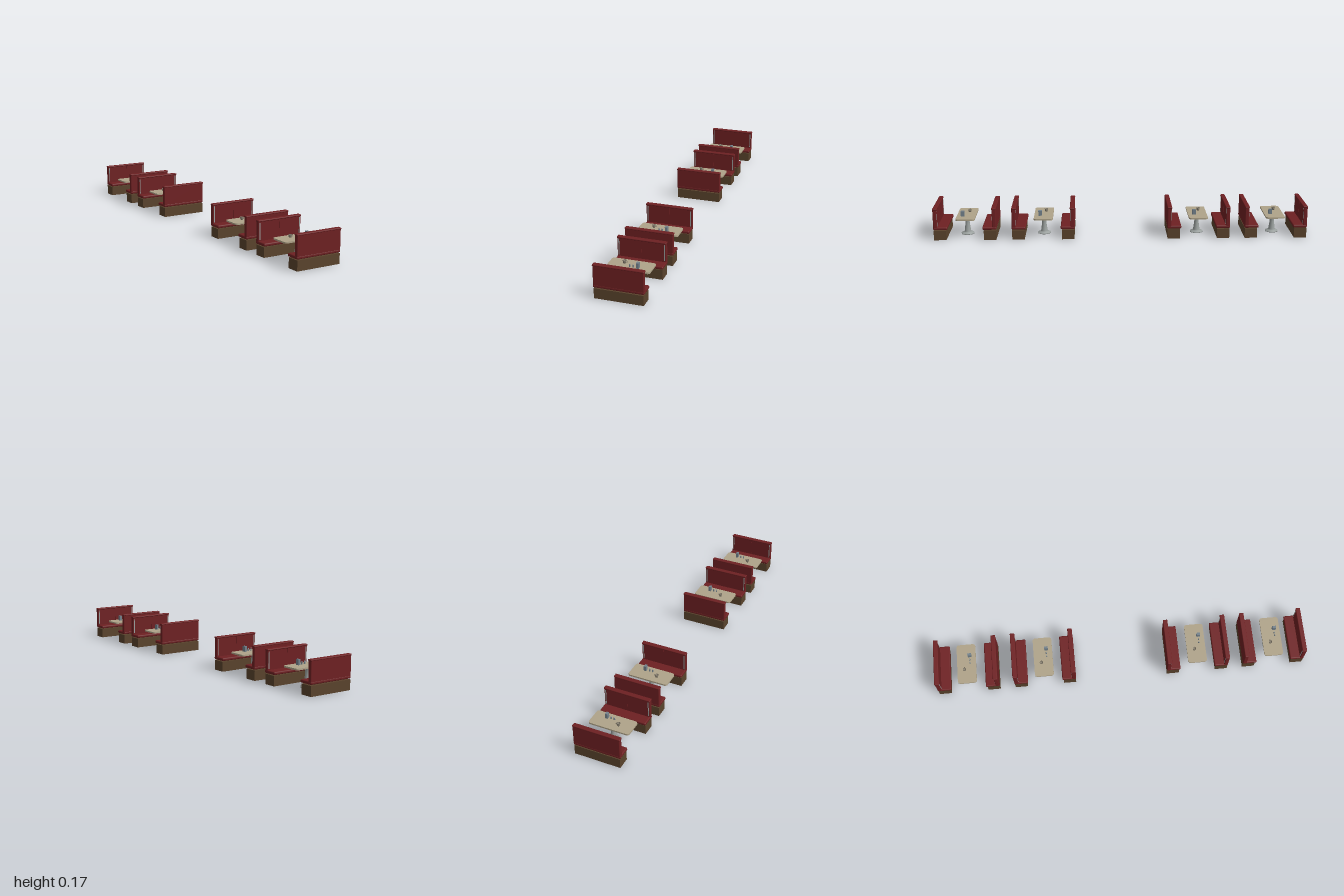
import * as THREE from 'three';
import { RoundedBoxGeometry } from 'three/addons/geometries/RoundedBoxGeometry.js';

const mat = (name, color) => {
  const m = new THREE.MeshStandardMaterial({ color });
  m.name = name;
  return m;
};

export function createModel() {
  const red = mat('red upholstery', 0x6e2022);
  const wood = mat('brown plinth', 0x5a432c);
  const cream = mat('cream laminate', 0xafa389);
  const chrome = mat('brushed metal', 0x9aa09e);
  const steel = mat('blue steel', 0x74828c);
  const china = mat('stone china', 0x8c8474);

  const add = (parent, name, geo, material, x = 0, y = 0, z = 0) => {
    const m = new THREE.Mesh(geo, material);
    m.name = name;
    m.position.set(x, y, z);
    parent.add(m);
    return m;
  };

  // Horizontal slab with rounded corners, resting on y = 0
  const slab = (w, d, h, r) => {
    const s = new THREE.Shape();
    const x = w / 2, y = d / 2;
    s.moveTo(-x + r, -y);
    s.lineTo(x - r, -y).absarc(x - r, -y + r, r, -Math.PI / 2, 0);
    s.lineTo(x, y - r).absarc(x - r, y - r, r, 0, Math.PI / 2);
    s.lineTo(-x + r, y).absarc(-x + r, y - r, r, Math.PI / 2, Math.PI);
    s.lineTo(-x, -y + r).absarc(-x + r, -y + r, r, Math.PI, Math.PI * 1.5);
    const g = new THREE.ExtrudeGeometry(s, { depth: h, bevelEnabled: false, curveSegments: 5 });
    return g.rotateX(-Math.PI / 2);
  };

  // Shared geometries
  const plinthGeo = new THREE.BoxGeometry(0.245, 0.052, 0.066);
  const seatGeo = new RoundedBoxGeometry(0.252, 0.016, 0.075, 2, 0.006);
  const backGeo = new RoundedBoxGeometry(0.25, 0.108, 0.021, 2, 0.004);
  const railGeo = new RoundedBoxGeometry(0.254, 0.009, 0.025, 2, 0.004);
  const trimGeo = new THREE.BoxGeometry(0.005, 0.085, 0.002);
  const pipingGeo = new THREE.BoxGeometry(0.002, 0.09, 0.002);
  const topGeo = slab(0.22, 0.102, 0.008, 0.014);
  const pedestalGeo = new THREE.LatheGeometry([
    [0, 0], [0.035, 0], [0.035, 0.004], [0.022, 0.009], [0.018, 0.014],
    [0.012, 0.055], [0.011, 0.088], [0.02, 0.096], [0.02, 0.102], [0, 0.102],
  ].map(p => new THREE.Vector2(...p)), 20);
  const cupGeo = new THREE.LatheGeometry([
    [0, 0], [0.006, 0], [0.008, 0.006], [0.009, 0.015], [0.008, 0.015], [0.006, 0.004], [0, 0.004],
  ].map(p => new THREE.Vector2(...p)), 16);
  const handleGeo = new THREE.TorusGeometry(0.004, 0.0012, 6, 12);
  const shakerGeo = new THREE.CylinderGeometry(0.0032, 0.004, 0.013, 10);
  const capGeo = new THREE.CylinderGeometry(0.002, 0.0034, 0.003, 10);
  const boxGeo = new THREE.BoxGeometry(0.013, 0.028, 0.019);

  // Bench on the +z side of its table, facing -z
  const bench = () => {
    const g = new THREE.Group();
    g.name = 'bench';
    add(g, 'plinth', plinthGeo, wood, 0, 0.026, 0.133);
    add(g, 'seatCushion', seatGeo, red, 0, 0.064, 0.1305);
    add(g, 'backrest', backGeo, red, 0, 0.119, 0.1565);
    add(g, 'topRail', railGeo, red, 0, 0.1705, 0.1555);
    add(g, 'backPiping', pipingGeo, red, 0, 0.12, 0.146);
    for (const s of [-1, 1]) add(g, 'backTrim', trimGeo, chrome, s * 0.117, 0.12, 0.146);
    return g;
  };

  // Pedestal table with tableware
  const table = () => {
    const g = new THREE.Group();
    g.name = 'table';
    add(g, 'pedestal', pedestalGeo, chrome);
    add(g, 'tableTop', topGeo, cream, 0, 0.102, 0);
    const y = 0.11;
    add(g, 'cup', cupGeo, china, -0.036, y, -0.011);
    add(g, 'cupHandle', handleGeo, china, -0.026, y + 0.008, -0.011);
    for (const x of [0.002, 0.019]) {
      add(g, 'shaker', shakerGeo, steel, x, y + 0.0065, 0.019);
      add(g, 'shakerCap', capGeo, chrome, x, y + 0.0145, 0.019);
    }
    add(g, 'napkinBox', boxGeo, steel, 0.042, y + 0.014, 0.019);
    return g;
  };

  // Four booths in a row with an aisle in the middle
  const model = new THREE.Group();
  model.name = 'dinerBooths';
  for (const z of [-0.832, -0.417, 0.415, 0.832]) {
    const booth = new THREE.Group();
    booth.name = 'booth';
    booth.position.z = z;
    const rear = bench();
    rear.rotation.y = Math.PI;
    booth.add(bench(), rear, table());
    model.add(booth);
  }
  return model;
}
